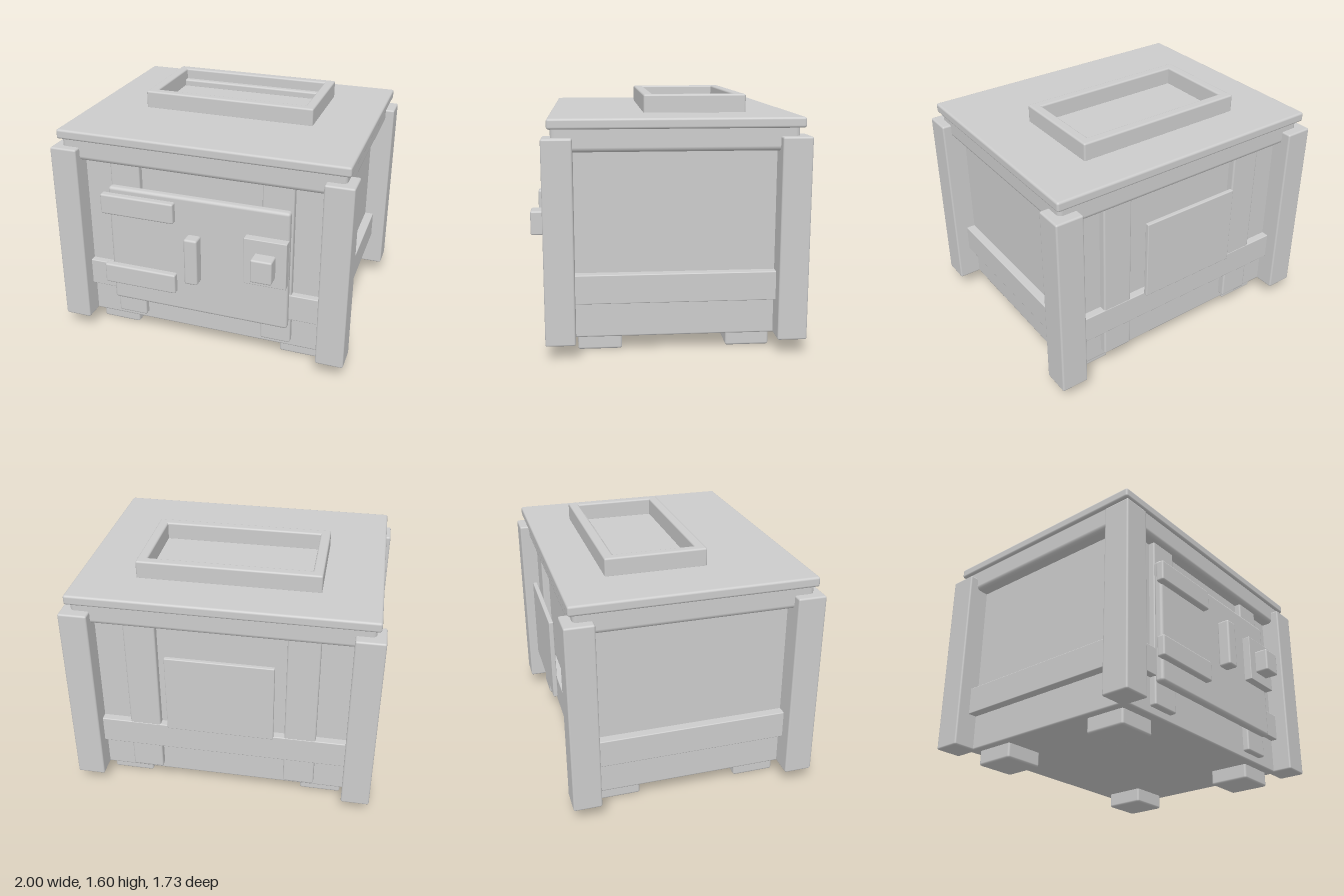
import * as THREE from 'three';
import { RoundedBoxGeometry } from 'three/addons/geometries/RoundedBoxGeometry.js';

export function createModel() {
  const model = new THREE.Group();
  model.name = 'stove';
  const grey = new THREE.MeshStandardMaterial({ color: 0xcccccc });
  grey.name = 'grey';

  // Box with softened edges, given by its limits on each axis
  function block(name, [x0, x1], [y0, y1], [z0, z1], radius = 0.012) {
    const mesh = new THREE.Mesh(new RoundedBoxGeometry(x1 - x0, y1 - y0, z1 - z0, 2, radius), grey);
    mesh.name = name;
    mesh.position.set((x0 + x1) / 2, (y0 + y1) / 2, (z0 + z1) / 2);
    model.add(mesh);
    return mesh;
  }

  // Body, collar and lid
  block('body', [-0.85, 0.85], [0.1, 1.4], [-0.73, 0.62]);
  block('collar', [-0.94, 0.94], [1.28, 1.46], [-0.8, 0.7], 0.03);
  block('lid', [-0.965, 0.965], [1.42, 1.485], [-0.83, 0.72], 0.015);

  // Posts, feet and upright straps, mirrored left to right
  for (const s of [-1, 1]) {
    const side = (a, b) => (s > 0 ? [a, b] : [-b, -a]);
    block('cornerPostFront', side(0.815, 1), [0.1, 1.37], [0.57, 0.755]);
    block('cornerPostBack', side(0.815, 1), [0.1, 1.37], [-0.865, -0.68]);
    block('footFront', side(0.525, 0.8), [0, 0.13], [0.28, 0.56], 0.015);
    block('footBack', side(0.525, 0.8), [0, 0.13], [-0.665, -0.385], 0.015);
    block('strapFront', side(0.415, 0.62), [0.15, 1.3], [0.6, 0.663]);
    block('strapBack', side(0.415, 0.62), [0.15, 1.3], [-0.778, -0.71]);
    block('sideRail', side(0.83, 0.91), [0.335, 0.52], [-0.75, 0.64], 0.006);
  }
  block('frontRail', [-0.88, 0.88], [0.335, 0.52], [0.6, 0.665], 0.006);
  block('backRail', [-0.88, 0.88], [0.335, 0.52], [-0.78, -0.71], 0.006);
  block('backPlate', [-0.35, 0.345], [0.56, 1.11], [-0.855, -0.825], 0.006);

  // Door with hinges, handle and latch
  block('door', [-0.62, 0.61], [0.29, 1.13], [0.655, 0.717], 0.02);
  for (const y of [0.43, 0.95]) {
    block('hinge', [-0.66, -0.15], [y, y + 0.14], [0.705, 0.76]);
  }
  block('handle', [-0.05, 0.04], [0.575, 0.9], [0.75, 0.837], 0.014);
  block('latchPlate', [0.33, 0.61], [0.62, 0.945], [0.71, 0.77], 0.005);
  block('latchKnob', [0.4, 0.54], [0.69, 0.85], [0.75, 0.86]);

  // Raised frame on the lid with a bar along its inner back edge
  const frameY = [1.475, 1.6];
  block('frameBack', [-0.59, 0.585], frameY, [-0.53, -0.465]);
  block('frameFront', [-0.59, 0.585], frameY, [0.06, 0.125]);
  block('frameRight', [-0.59, -0.525], frameY, [-0.53, 0.125]);
  block('frameLeft', [0.52, 0.585], frameY, [-0.53, 0.125]);
  block('frameBar', [-0.53, 0.525], [1.475, 1.53], [-0.47, -0.42]);

  return model;
}
